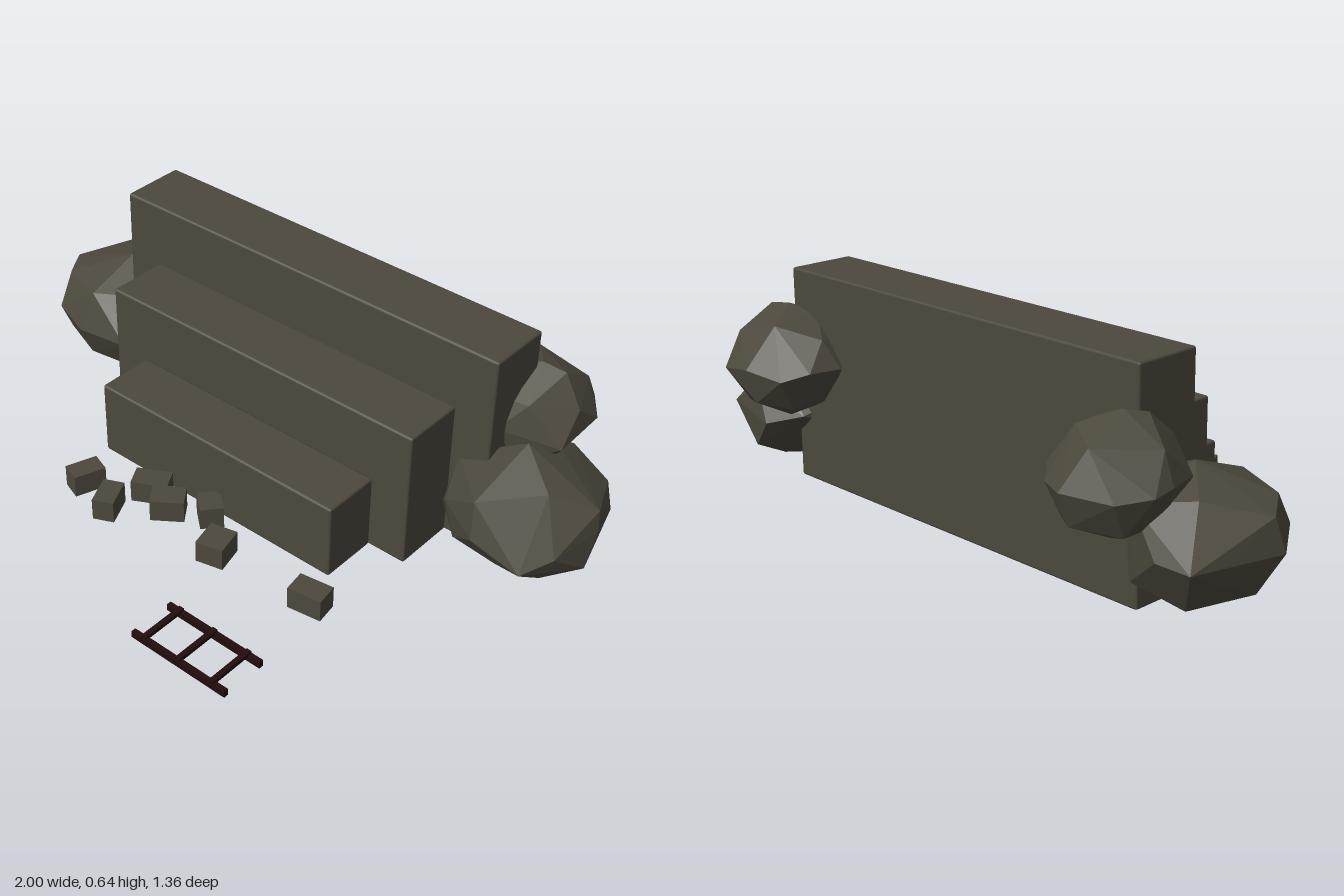
import * as THREE from 'three';
import { RoundedBoxGeometry } from 'three/addons/geometries/RoundedBoxGeometry.js';
import { ConvexGeometry } from 'three/addons/geometries/ConvexGeometry.js';

export function createModel() {
  const model = new THREE.Group();
  model.name = 'steppedStones';
  const stone = new THREE.MeshStandardMaterial({ color: 0x4c483c });
  stone.name = 'stone';
  const wood = new THREE.MeshStandardMaterial({ color: 0x220c0c });
  wood.name = 'darkWood';

  function add(parent, name, geometry, material, x = 0, y = 0, z = 0, turn = 0) {
    const mesh = new THREE.Mesh(geometry, material);
    mesh.name = name;
    mesh.position.set(x, y, z);
    mesh.rotation.y = turn;
    parent.add(mesh);
    return mesh;
  }

  // Three tiers with bevelled edges: name, width, height, front z, back z
  const tiers = [
    ['lowerTier', 0.875, 0.24, 0.14, -0.045],
    ['middleTier', 1.12, 0.44, -0.043, -0.243],
    ['upperTier', 1.363, 0.64, -0.24, -0.447],
  ];
  for (const [name, w, h, front, back] of tiers) {
    add(model, name, new RoundedBoxGeometry(w, h, front - back, 1, 0.007), stone,
      -0.009, h / 2, (front + back) / 2);
  }

  // Faceted boulders, each the hull of a few corners
  const boulders = {
    leftLargeBoulder: [
      [0.75, 0.375, -0.31], [0.99, 0.27, -0.31], [0.985, 0.08, -0.28], [0.875, 0.005, -0.24],
      [0.67, 0.04, -0.3], [0.55, 0.12, -0.22], [0.565, 0.275, -0.26], [0.745, 0.18, -0.07],
      [0.89, 0.12, -0.095], [0.73, 0.29, -0.095], [0.9, 0.2, -0.515], [0.96, 0.18, -0.435],
      [0.95, 0.16, -0.17], [0.605, 0.2, -0.145], [0.75, 0.325, -0.44], [0.78, 0.27, -0.515],
      [0.72, 0.17, -0.535], [0.8, 0.08, -0.515], [0.62, 0.2, -0.47], [0.8, 0.03, -0.415],
      [0.8, 0.1, -0.115], [0.65, 0.1, -0.13], [0.88, 0.32, -0.22], [0.995, 0.2, -0.31],
    ],
    rightLargeBoulder: [
      [-1, 0.19, -0.26], [-0.98, 0.285, -0.28], [-0.745, 0.375, -0.3], [-0.58, 0.3, -0.25],
      [-0.57, 0.2, -0.15], [-0.58, 0.1, -0.3], [-0.755, 0.005, -0.28], [-0.945, 0.08, -0.3],
      [-0.94, 0.2, -0.54], [-0.83, 0.2, -0.54], [-0.96, 0.2, -0.445], [-0.9, 0.2, -0.115],
      [-0.775, 0.18, -0.08], [-0.605, 0.18, -0.105], [-0.75, 0.31, -0.12], [-0.78, 0.07, -0.13],
      [-0.65, 0.06, -0.16], [-0.86, 0.33, -0.42], [-0.7, 0.3, -0.48], [-0.86, 0.06, -0.46],
      [-0.68, 0.08, -0.46], [-0.62, 0.2, -0.42], [-0.9, 0.1, -0.16], [-0.91, 0.3, -0.18],
    ],
    leftSmallBoulder: [
      [0.68, 0.535, -0.46], [0.75, 0.525, -0.47], [0.815, 0.44, -0.45], [0.825, 0.37, -0.54],
      [0.825, 0.36, -0.36], [0.45, 0.38, -0.455], [0.47, 0.38, -0.55], [0.515, 0.36, -0.62],
      [0.63, 0.38, -0.655], [0.755, 0.36, -0.64], [0.6, 0.5, -0.57], [0.6, 0.52, -0.42],
      [0.72, 0.47, -0.34], [0.55, 0.44, -0.34], [0.65, 0.38, -0.3], [0.64, 0.21, -0.5],
      [0.75, 0.25, -0.42], [0.74, 0.25, -0.57], [0.54, 0.26, -0.56], [0.55, 0.26, -0.4],
      [0.7, 0.28, -0.33], [0.62, 0.28, -0.63], [0.5, 0.46, -0.48], [0.76, 0.46, -0.58],
    ],
    rightSmallBoulder: [
      [-0.67, 0.53, -0.48], [-0.7, 0.515, -0.42], [-0.795, 0.455, -0.47], [-0.83, 0.37, -0.475],
      [-0.83, 0.36, -0.54], [-0.775, 0.35, -0.62], [-0.65, 0.365, -0.68], [-0.56, 0.36, -0.635],
      [-0.5, 0.38, -0.565], [-0.465, 0.37, -0.45], [-0.58, 0.49, -0.55], [-0.69, 0.47, -0.62],
      [-0.57, 0.49, -0.41], [-0.7, 0.44, -0.33], [-0.56, 0.38, -0.31], [-0.79, 0.36, -0.36],
      [-0.65, 0.2, -0.5], [-0.76, 0.25, -0.57], [-0.76, 0.25, -0.42], [-0.55, 0.25, -0.42],
      [-0.55, 0.25, -0.57], [-0.65, 0.27, -0.645], [-0.64, 0.27, -0.33], [-0.51, 0.45, -0.48],
    ],
  };
  for (const [name, corners] of Object.entries(boulders)) {
    add(model, name, new ConvexGeometry(corners.map((c) => new THREE.Vector3(...c))), stone);
  }

  // Scattered loose blocks: x, z, width, depth, turn
  const rubble = new THREE.Group();
  rubble.name = 'looseBlocks';
  model.add(rubble);
  const blocks = [
    [-0.36, 0.31, 0.065, 0.1, -0.34], [-0.23, 0.345, 0.065, 0.1, 0.44],
    [-0.18, 0.215, 0.11, 0.07, 0.5], [-0.09, 0.24, 0.1, 0.075, 0.63],
    [0.02, 0.18, 0.08, 0.07, -0.7], [0.14, 0.285, 0.085, 0.092, 0.24],
    [0.47, 0.27, 0.105, 0.07, 0.15],
  ];
  for (const [x, z, w, d, turn] of blocks) {
    add(rubble, 'looseBlock', new THREE.BoxGeometry(w, 0.07, d), stone, x, 0.04, z, turn);
  }

  // Ladder lying on the ground
  const ladder = new THREE.Group();
  ladder.name = 'ladder';
  model.add(ladder);
  for (const z of [0.535, 0.672]) {
    add(ladder, 'rail', new THREE.BoxGeometry(0.332, 0.021, 0.015), wood, 0.358, 0.022, z);
  }
  for (const x of [0.235, 0.357, 0.477]) {
    add(ladder, 'rung', new THREE.BoxGeometry(0.016, 0.012, 0.15), wood, x, 0.034, 0.604);
  }
  return model;
}
